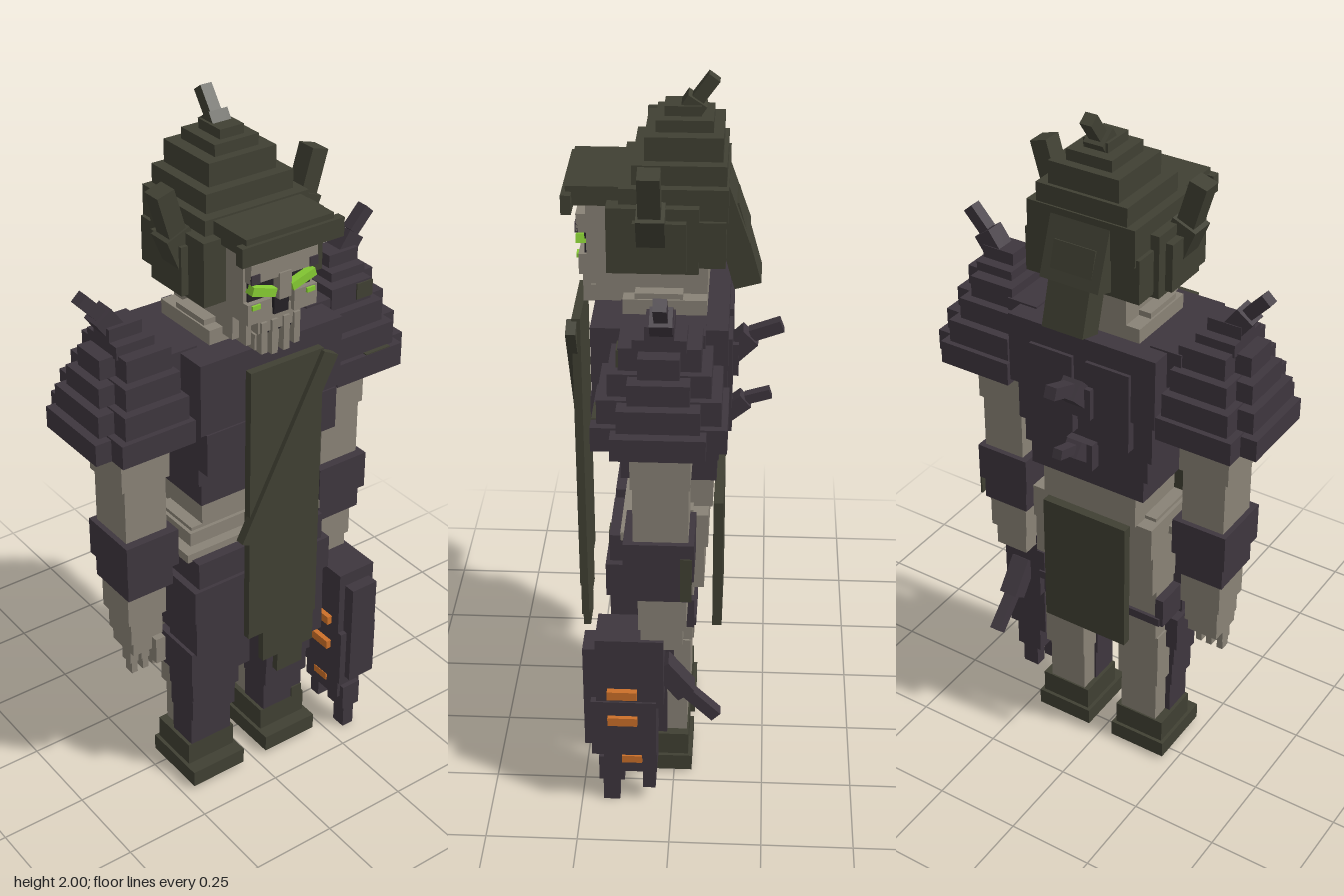
import * as THREE from 'three';

const mat = (name, color) => {
  const m = new THREE.MeshStandardMaterial({ color });
  m.name = name;
  return m;
};

export function createModel() {
  const plum = mat('plum armour', 0x3e363e);
  const olive = mat('olive cloth and helm', 0x404033);
  const bone = mat('bone', 0x898276);
  const dark = mat('dark hollow', 0x242126);
  const orange = mat('orange glow', 0xcc7029);
  const lime = mat('lime eyes', 0x86cc33);
  const root = new THREE.Group();
  root.name = 'skeletonWarrior';

  const part = (name, parent = root) => {
    const g = new THREE.Group();
    g.name = name;
    parent.add(g);
    return g;
  };
  // Box from its limits
  const box = (g, name, m, x0, x1, y0, y1, z0, z1) => {
    const b = new THREE.Mesh(new THREE.BoxGeometry(Math.abs(x1 - x0), y1 - y0, z1 - z0), m);
    b.position.set((x0 + x1) / 2, (y0 + y1) / 2, (z0 + z1) / 2);
    b.name = name;
    g.add(b);
    return b;
  };
  // Box mirrored to both sides
  const pair = (g, name, m, x0, x1, ...r) => {
    box(g, name + 'Left', m, x0, x1, ...r);
    box(g, name + 'Right', m, -x1, -x0, ...r);
  };
  // Rotated beam between two points, with width w and depth d
  const beam = (g, name, m, a, b, w, d) => {
    const p = new THREE.Vector3(...a), q = new THREE.Vector3(...b);
    const mesh = new THREE.Mesh(new THREE.BoxGeometry(w, p.distanceTo(q), d), m);
    mesh.position.copy(p).add(q).multiplyScalar(0.5);
    mesh.quaternion.setFromUnitVectors(new THREE.Vector3(0, 1, 0), q.sub(p).normalize());
    mesh.name = name;
    g.add(mesh);
  };
  // Spike of two beams, the outer one thinner
  const spike = (g, name, m, a, b, c, w) => {
    beam(g, name + 'Base', m, a, b, w, w);
    beam(g, name + 'Tip', m, b, c, w * 0.6, w * 0.6);
  };

  // Legs: bone behind, armour plates in front, boots below
  for (const s of [1, -1]) {
    const g = part(s > 0 ? 'leftLeg' : 'rightLeg');
    const b = (name, m, x0, x1, ...r) => box(g, name, m, s * x0, s * x1, ...r);
    b('bootSole', olive, 0.04, 0.215, 0.01, 0.06, -0.05, 0.15);
    b('bootUpper', olive, 0.05, 0.205, 0.06, 0.13, -0.04, 0.11);
    b('shinLow', bone, 0.065, 0.18, 0.12, 0.27, -0.035, 0.08);
    b('shinHigh', bone, 0.06, 0.19, 0.27, 0.45, -0.045, 0.09);
    b('thighLow', bone, 0.055, 0.185, 0.45, 0.63, -0.05, 0.1);
    b('thighHigh', bone, 0.03, 0.19, 0.63, 0.82, -0.08, 0.1);
    b('greaveLow', plum, 0.06, 0.195, 0.13, 0.23, 0.02, 0.11);
    b('greaveMid', plum, 0.055, 0.2, 0.23, 0.31, 0.02, 0.125);
    b('greaveHigh', plum, 0.05, 0.205, 0.31, 0.4, 0.02, 0.135);
    b('kneePlate', plum, 0.03, 0.225, 0.39, 0.5, 0.0, 0.16);
    b('kneeStrap', plum, 0.185, 0.21, 0.51, 0.6, -0.055, 0.1);
    b('kneeBackStrap', plum, 0.05, 0.2, 0.51, 0.535, -0.06, -0.03);
    b('thighPlateLow', plum, 0.02, 0.215, 0.5, 0.62, 0.04, 0.17);
    b('thighPlateMid', plum, 0.02, 0.225, 0.62, 0.72, 0.04, 0.18);
    b('thighPlateHigh', plum, 0.02, 0.205, 0.72, 0.8, 0.04, 0.17);
  }

  // Pelvis and waist
  const waist = part('waist');
  box(waist, 'pelvis', bone, -0.19, 0.19, 0.76, 0.86, -0.09, 0.11);
  box(waist, 'hipFront', bone, -0.22, 0.22, 0.795, 0.82, 0.0, 0.14);
  box(waist, 'belly', bone, -0.145, 0.145, 0.86, 0.98, -0.1, 0.1);
  pair(waist, 'hipPoint', bone, 0.14, 0.18, 0.82, 0.87, -0.05, 0.1);

  // Torso in stepped tiers
  const torso = part('torso');
  [[0.175, 0.96, 1.03, -0.11, 0.14], [0.19, 1.03, 1.1, -0.115, 0.15], [0.205, 1.1, 1.22, -0.12, 0.21],
    [0.22, 1.22, 1.42, -0.135, 0.205]].forEach(([w, y0, y1, z0, z1], i) =>
    box(torso, 'chestTier' + i, plum, -w, w, y0, y1, z0, z1));
  pair(torso, 'backPlate', plum, 0.02, 0.15, 1.13, 1.36, -0.145, -0.1);
  box(torso, 'collarBone', bone, -0.14, 0.14, 1.4, 1.46, -0.08, 0.13);
  box(torso, 'neck', bone, -0.1, 0.1, 1.44, 1.56, -0.08, 0.17);
  pair(torso, 'collarKnob', bone, 0.1, 0.135, 1.44, 1.475, -0.02, 0.1);
  box(torso, 'upperSpineBase', plum, -0.045, 0.045, 1.2, 1.29, -0.16, -0.12);
  spike(torso, 'upperSpine', plum, [0, 1.24, -0.13], [0, 1.3, -0.19], [0, 1.33, -0.27], 0.055);
  box(torso, 'lowerSpineBase', plum, -0.04, 0.04, 1.03, 1.11, -0.145, -0.1);
  spike(torso, 'lowerSpine', plum, [0, 1.06, -0.12], [0, 1.11, -0.18], [0, 1.13, -0.245], 0.045);

  // Hanging cloths and the diagonal sash
  const cloth = part('cloth');
  box(cloth, 'frontCloth', olive, -0.11, 0.115, 0.57, 1.39, 0.24, 0.262);
  box(cloth, 'frontHem', olive, -0.06, 0.11, 0.47, 0.57, 0.24, 0.26);
  box(cloth, 'frontHemTip', olive, -0.01, 0.075, 0.41, 0.47, 0.24, 0.26);
  beam(cloth, 'sash', olive, [0.13, 1.375, 0.262], [-0.12, 0.89, 0.262], 0.05, 0.026);
  box(cloth, 'backCloth', olive, -0.13, 0.13, 0.46, 0.86, -0.128, -0.102);

  // Arms and stepped shoulder armour
  for (const s of [1, -1]) {
    const g = part(s > 0 ? 'leftArm' : 'rightArm');
    const b = (name, m, x0, x1, ...r) => box(g, name, m, s * x0, s * x1, ...r);
    // Each tier is a cross of two boxes: y0, y1, outer x, half depth
    [[1.2, 1.265, 0.485, 0.165], [1.265, 1.33, 0.465, 0.15], [1.33, 1.39, 0.445, 0.125],
      [1.39, 1.45, 0.425, 0.1]].forEach(([y0, y1, x, d], i) => {
      const inner = 0.225 + i * 0.008;
      b('shoulderTier' + i, plum, inner, x - 0.045, y0, y1, 0.025 - d, 0.025 + d);
      b('shoulderTierWide' + i, plum, inner, x, y0, y1 - 0.005, 0.075 - d * 1.0, d - 0.025);
    });
    b('shoulderStrap', plum, 0.17, 0.26, 1.32, 1.425, -0.08, 0.12);
    b('shoulderCap', plum, 0.275, 0.385, 1.44, 1.475, -0.04, 0.09);
    b('shoulderCapTop', plum, 0.29, 0.385, 1.475, 1.51, -0.01, 0.06);
    spike(g, 'shoulderSpike', plum, [s * 0.34, 1.47, 0.02], [s * 0.39, 1.54, 0.02], [s * 0.44, 1.595, 0.02], 0.055);
    b('upperArm', bone, 0.245, 0.39, 1.06, 1.25, -0.05, 0.1);
    b('upperArmLow', bone, 0.255, 0.38, 0.88, 1.06, -0.045, 0.095);
    b('elbowGuardHigh', plum, 0.235, 0.395, 0.79, 0.9, -0.06, 0.12);
    b('elbowGuardLow', plum, 0.245, 0.385, 0.72, 0.79, -0.05, 0.105);
    b('forearm', bone, 0.255, 0.375, 0.62, 0.73, -0.04, 0.085);
    b('wrist', bone, 0.265, 0.365, 0.55, 0.64, -0.03, 0.08);
  }

  // Bare right hand
  const hand = part('rightHand');
  box(hand, 'palm', bone, -0.36, -0.27, 0.51, 0.57, -0.02, 0.08);
  for (const x of [-0.345, -0.31, -0.278]) {
    box(hand, 'fingerBase', bone, x - 0.013, x + 0.013, 0.47, 0.52, 0.02, 0.06);
    box(hand, 'fingerTip', bone, x - 0.009, x + 0.009, 0.435, 0.475, 0.03, 0.06);
  }
  box(hand, 'thumb', bone, -0.3, -0.27, 0.47, 0.55, 0.07, 0.1);

  // Claw weapon on the left hand
  const claw = part('clawWeapon');
  box(claw, 'clawTop', plum, 0.255, 0.375, 0.36, 0.58, 0.02, 0.2);
  box(claw, 'clawFront', plum, 0.275, 0.36, 0.22, 0.54, 0.05, 0.235);
  box(claw, 'clawMid', plum, 0.255, 0.38, 0.2, 0.38, 0.04, 0.215);
  box(claw, 'clawLow', plum, 0.275, 0.355, 0.12, 0.22, 0.04, 0.185);
  box(claw, 'longFinger', plum, 0.285, 0.345, 0.08, 0.16, 0.13, 0.2);
  box(claw, 'longFingerTip', plum, 0.298, 0.335, 0, 0.08, 0.145, 0.19);
  box(claw, 'shortFinger', plum, 0.29, 0.34, 0.05, 0.15, 0.045, 0.08);
  spike(claw, 'backHook', plum, [0.315, 0.47, 0.03], [0.315, 0.38, -0.04], [0.315, 0.3, -0.12], 0.055);
  for (const y of [0.41, 0.322]) box(claw, 'glowBar', orange, 0.24, 0.392, y - 0.013, y + 0.013, 0.09, 0.17);
  box(claw, 'glowBarLow', orange, 0.27, 0.36, 0.155, 0.178, 0.08, 0.135);

  // Skull
  const skull = part('skull');
  box(skull, 'cranium', bone, -0.105, 0.105, 1.54, 1.7, 0.08, 0.22);
  box(skull, 'brow', bone, -0.1, 0.1, 1.62, 1.67, 0.2, 0.245);
  pair(skull, 'eyeSocket', dark, 0.015, 0.095, 1.56, 1.62, 0.21, 0.225);
  box(skull, 'noseBridge', bone, -0.018, 0.018, 1.56, 1.63, 0.21, 0.25);
  box(skull, 'noseHollow', dark, -0.022, 0.022, 1.515, 1.56, 0.225, 0.235);
  pair(skull, 'cheek', bone, 0.035, 0.105, 1.51, 1.565, 0.15, 0.24);
  box(skull, 'upperJaw', bone, -0.065, 0.065, 1.47, 1.53, 0.12, 0.228);
  box(skull, 'mouthGap', dark, -0.05, 0.05, 1.462, 1.472, 0.14, 0.222);
  box(skull, 'lowerJaw', bone, -0.065, 0.065, 1.42, 1.463, 0.14, 0.215);
  pair(skull, 'jawSide', bone, 0.06, 0.08, 1.43, 1.53, 0.1, 0.2);
  for (const x of [-0.05, -0.018, 0.018, 0.05])
    box(skull, 'tooth', bone, x - 0.009, x + 0.009, 1.4 + Math.abs(x) * 0.3, 1.5, 0.2, 0.235);
  for (const s of [1, -1]) {
    beam(skull, 'eye', lime, [s * 0.025, 1.58, 0.232], [s * 0.095, 1.602, 0.232], 0.022, 0.03);
    box(skull, 'eyeCorner', lime, s * 0.07, s * 0.095, 1.55, 1.562, 0.238, 0.246);
    box(skull, 'temple', plum, s * 0.075, s * 0.1, 1.62, 1.645, 0.24, 0.248);
  }

  // Helm in stepped tiers: half width, y0, y1, z0, z1
  const helm = part('helm');
  [[0.165, 1.56, 1.68, -0.125, 0.125], [0.155, 1.66, 1.76, -0.13, 0.135], [0.13, 1.75, 1.81, -0.125, 0.105],
    [0.1, 1.8, 1.87, -0.115, 0.075], [0.065, 1.86, 1.9, -0.09, 0.05]].forEach(([w, y0, y1, z0, z1], i) =>
    box(helm, 'helmTier' + i, olive, -w, w, y0, y1, z0, z1));
  pair(helm, 'cheekGuard', olive, 0.115, 0.18, 1.55, 1.72, -0.06, 0.165);
  pair(helm, 'cheekGuardOuter', olive, 0.16, 0.2, 1.56, 1.69, -0.03, 0.1);
  box(helm, 'visor', olive, -0.13, 0.13, 1.705, 1.755, 0.12, 0.265);
  box(helm, 'visorEdge', olive, -0.148, 0.155, 1.69, 1.74, 0.25, 0.275);
  box(helm, 'crest', olive, -0.035, 0.035, 1.78, 1.925, -0.06, 0.03);
  spike(helm, 'crestSpike', olive, [0, 1.86, 0.0], [0, 1.935, -0.05], [0, 1.99, -0.09], 0.055);
  beam(helm, 'neckFlapUpper', olive, [0, 1.75, -0.09], [0, 1.58, -0.15], 0.17, 0.07);
  beam(helm, 'neckFlapLower', olive, [0, 1.68, -0.12], [0, 1.465, -0.18], 0.12, 0.07);
  for (const s of [1, -1]) {
    beam(helm, 'hornBase', olive, [s * 0.15, 1.6, 0.055], [s * 0.2, 1.72, 0.055], 0.07, 0.07);
    beam(helm, 'horn', olive, [s * 0.18, 1.66, 0.057], [s * 0.23, 1.83, 0.057], 0.05, 0.055);
  }

  // Thin olive stains on the armour
  const stains = part('stains');
  box(stains, 'shoulderStain', olive, 0.33, 0.382, 1.40, 1.445, 0.123, 0.129);
  box(stains, 'shoulderTopStain', olive, 0.32, 0.4, 1.262, 1.268, 0.177, 0.189);
  box(stains, 'elbowStain', olive, 0.393, 0.398, 0.73, 0.86, -0.055, -0.025);
  box(stains, 'greaveStain', olive, 0.16, 0.195, 0.13, 0.165, 0.108, 0.114);
  box(stains, 'thighStain', olive, 0.13, 0.18, 0.75, 0.79, 0.168, 0.174);
  return root;
}
